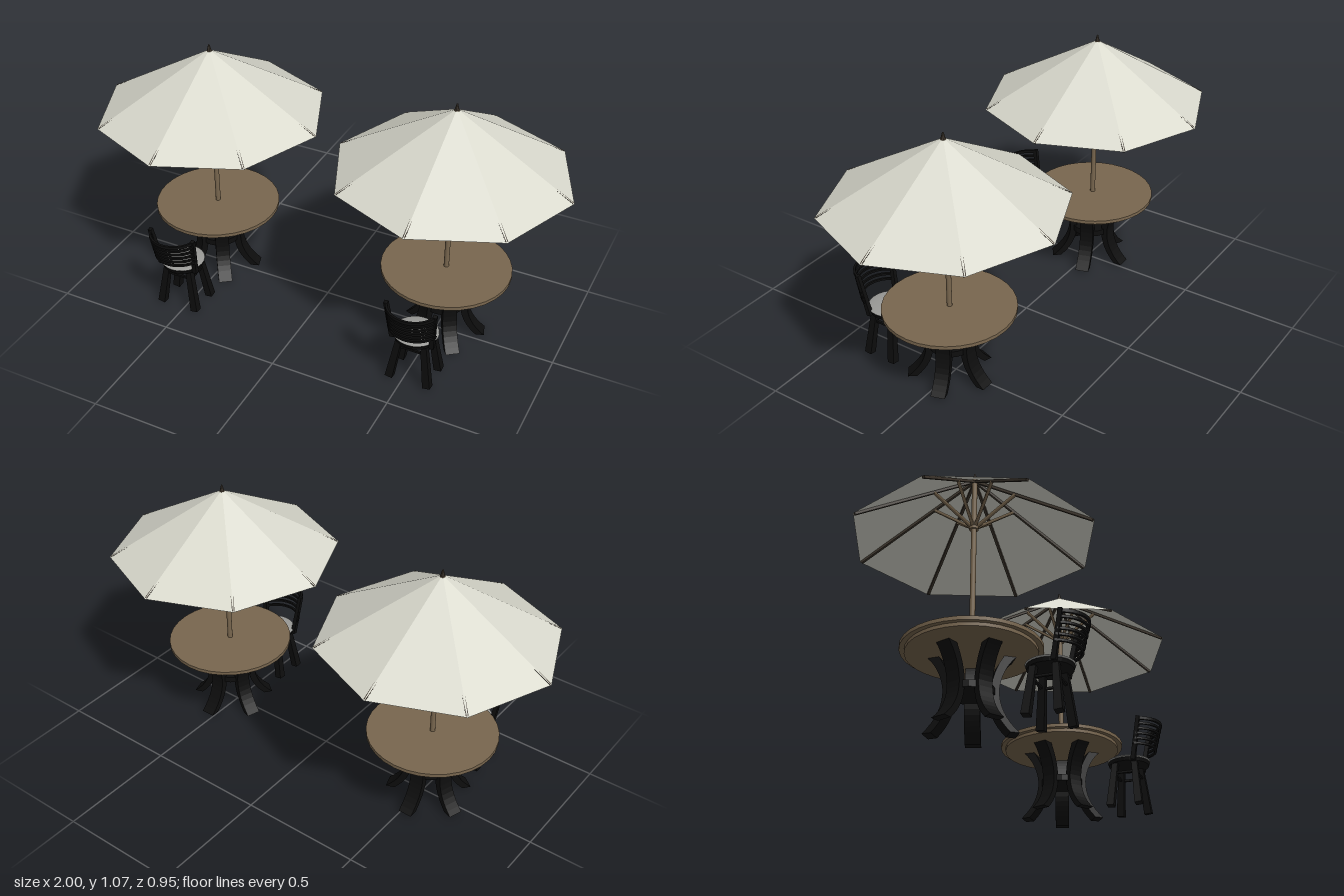
import * as THREE from 'three';

const mat = (name, color, opts = {}) => {
  const m = new THREE.MeshStandardMaterial({ color, ...opts });
  m.name = name;
  return m;
};

export function createModel() {
  const canvas = mat('canvas', 0xd9d9cd, { flatShading: true, side: THREE.DoubleSide });
  const wood = mat('wood', 0x78664e);
  const black = mat('blackPaint', 0x0d0d0d, { flatShading: true });
  const cushionGrey = mat('cushionGrey', 0x9a9a97);
  const dark = mat('darkWood', 0x40382f, { flatShading: true });

  const add = (parent, name, geometry, material, x = 0, y = 0, z = 0) => {
    const m = new THREE.Mesh(geometry, material);
    m.name = name;
    m.position.set(x, y, z);
    parent.add(m);
    return m;
  };

  // Tapered square bar from point a to point b
  const UP = new THREE.Vector3(0, 1, 0);
  const bar = (parent, name, a, b, wa, wb, material) => {
    const p = new THREE.Vector3(...a), q = new THREE.Vector3(...b);
    const d = q.clone().sub(p);
    const g = new THREE.CylinderGeometry(wb * Math.SQRT1_2, wa * Math.SQRT1_2, d.length(), 4);
    g.rotateY(Math.PI / 4);
    const m = add(parent, name, g, material);
    m.position.copy(p).add(q).multiplyScalar(0.5);
    m.quaternion.setFromUnitVectors(UP, d.normalize());
    return m;
  };

  // Umbrella: pole, eight-sided canopy, ribs, struts and finial
  function umbrella() {
    const g = new THREE.Group();
    g.name = 'umbrella';
    const R = 0.474, low = 0.767, peak = 1.045;
    add(g, 'pole', new THREE.CylinderGeometry(0.0105, 0.0105, 0.74, 16), wood, 0, 0.67, 0);
    add(g, 'canopy', new THREE.ConeGeometry(R, peak - low, 8, 1, true), canvas, 0, (peak + low) / 2, 0);
    add(g, 'finial', new THREE.CylinderGeometry(0.003, 0.011, 0.032, 8), dark, 0, 1.05, 0);
    add(g, 'hub', new THREE.CylinderGeometry(0.018, 0.018, 0.025, 16), wood, 0, 0.83, 0);
    for (let i = 0; i < 8; i++) {
      const arm = new THREE.Group();
      arm.name = 'ribArm';
      arm.rotation.y = i * Math.PI / 4;
      bar(arm, 'rib', [0, peak - 0.012, 0], [0, low - 0.002, R - 0.007], 0.01, 0.01, dark);
      bar(arm, 'strut', [0, 0.83, 0.012], [0, 0.938, 0.165], 0.01, 0.01, wood);
      g.add(arm);
    }
    return g;
  }

  // Round table on five bowed legs tied by a disc
  function table() {
    const g = new THREE.Group();
    g.name = 'table';
    add(g, 'tableTop', new THREE.CylinderGeometry(0.262, 0.262, 0.015, 32), wood, 0, 0.316, 0);
    add(g, 'tableRim', new THREE.CylinderGeometry(0.243, 0.243, 0.014, 32), wood, 0, 0.302, 0);
    add(g, 'legTie', new THREE.CylinderGeometry(0.086, 0.086, 0.026, 20), black, 0, 0.15, 0);
    const s = new THREE.Shape();
    s.moveTo(0.138, 0.005);
    s.lineTo(0.173, 0.005);
    s.quadraticCurveTo(0.095, 0.07, 0.097, 0.16);
    s.quadraticCurveTo(0.105, 0.24, 0.16, 0.296);
    s.lineTo(0.115, 0.296);
    s.quadraticCurveTo(0.072, 0.23, 0.068, 0.16);
    s.quadraticCurveTo(0.068, 0.07, 0.138, 0.005);
    const w = 0.058;
    const legGeo = new THREE.ExtrudeGeometry(s, { depth: w, bevelEnabled: false, curveSegments: 8 });
    legGeo.translate(0, 0, -w / 2);
    for (let i = 0; i < 5; i++) {
      add(g, 'tableLeg', legGeo, black).rotation.y = Math.PI / 2 + i * Math.PI * 0.4;
    }
    return g;
  }

  // Chair with round cushion and curved slatted back
  function chair() {
    const g = new THREE.Group();
    g.name = 'chair';
    const cz = 0.298;
    add(g, 'seat', new THREE.CylinderGeometry(0.088, 0.084, 0.014, 24), black, 0, 0.197, cz);
    const pad = new THREE.SphereGeometry(1, 24, 12);
    pad.scale(0.091, 0.011, 0.091);
    add(g, 'cushion', pad, cushionGrey, 0, 0.21, cz);

    for (const side of [-1, 1]) {
      bar(g, 'backLeg', [side * 0.08, 0, 0.354], [side * 0.05, 0.195, 0.335], 0.031, 0.024, black);
      bar(g, 'frontLeg', [side * 0.08, 0, 0.235], [side * 0.05, 0.195, 0.253], 0.031, 0.024, black);
      bar(g, 'sideStretcher', [side * 0.057, 0.149, 0.34], [side * 0.057, 0.149, 0.248], 0.009, 0.009, black);
      bar(g, 'backPost', [side * 0.082, 0.19, 0.337], [side * 0.1, 0.374, 0.37], 0.019, 0.016, black);
    }
    for (const z of [0.34, 0.248])
      bar(g, 'crossStretcher', [-0.057, 0.149, z], [0.057, 0.149, z], 0.009, 0.009, black);

    // Six back slats, each an arc bulging backwards
    const arc = new THREE.Shape();
    const a0 = Math.PI * 0.11, a1 = Math.PI * 0.89;
    arc.absarc(0, 0, 0.109, a0, a1, false);
    arc.absarc(0, 0, 0.1, a1, a0, true);
    for (let i = 0; i < 6; i++) {
      const h = i === 5 ? 0.013 : 0.009;
      const geo = new THREE.ExtrudeGeometry(arc, { depth: h, bevelEnabled: false, curveSegments: 12 });
      geo.rotateX(Math.PI / 2);
      add(g, 'backSlat', geo, black, 0, 0.257 + i * 0.0215 + h / 2, 0.309 + i * 0.0054);
    }
    return g;
  }

  const model = new THREE.Group();
  model.name = 'patioSets';
  for (const x of [-0.526, 0.526]) {
    const set = new THREE.Group();
    set.name = 'patioSet';
    set.add(umbrella(), table(), chair());
    set.position.x = x;
    model.add(set);
  }
  return model;
}
